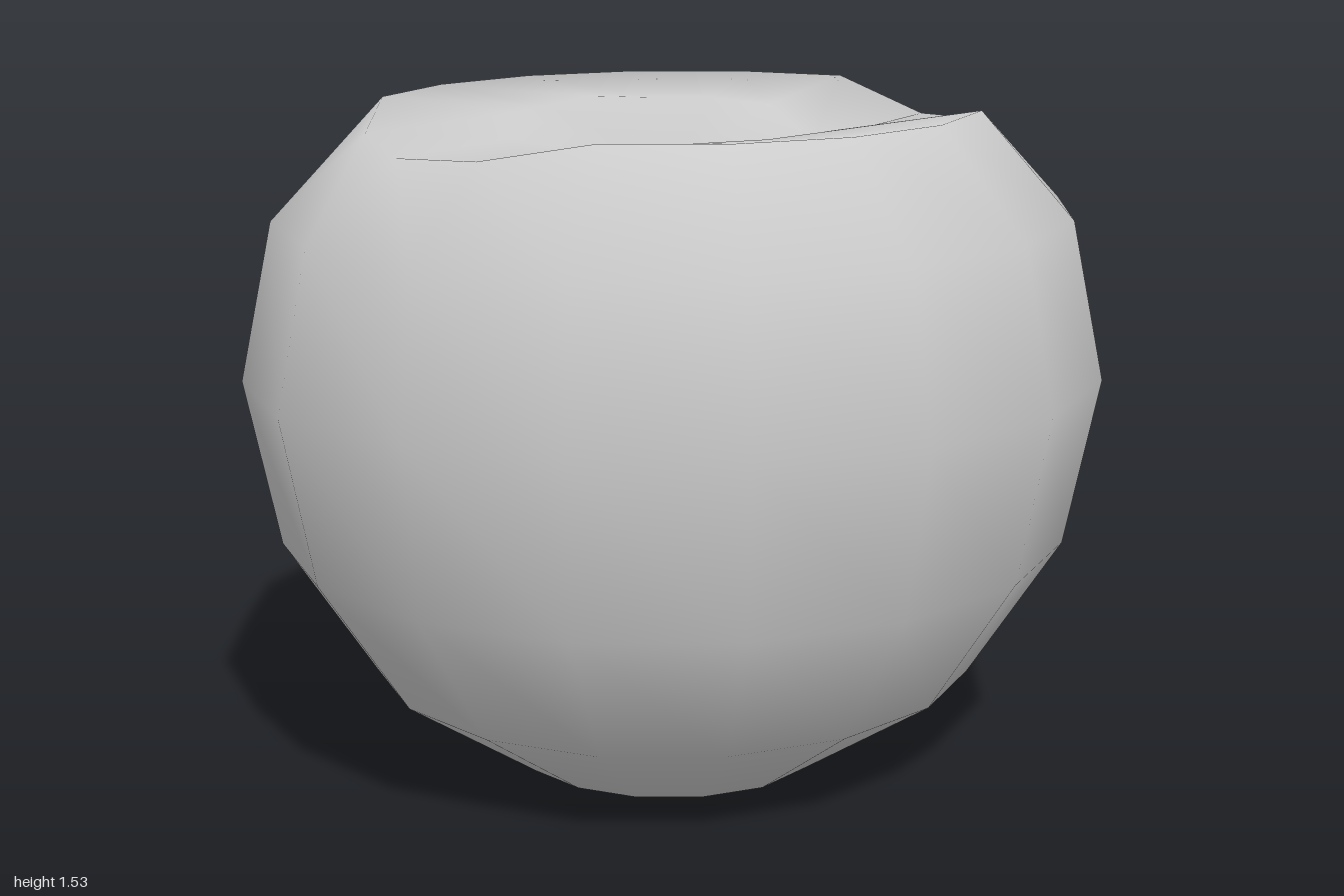
import * as THREE from 'three';

const SIDES = 16;
const DEPTH = 0.953; // front-to-back squash

// Heights around a ring, starting at +x and turning towards +z
const rimHeights = [1.46, 1.48, 1.53, 1.53, 1.53, 1.53, 1.53, 1.48,
  1.46, 1.48, 1.53, 1.53, 1.53, 1.53, 1.53, 1.53];
const dimpleHeights = [1.42, 1.45, 1.48, 1.49, 1.49, 1.49, 1.48, 1.46,
  1.43, 1.46, 1.5, 1.5, 1.51, 1.5, 1.5, 1.49];

// Rings from bottom to top: radius and height rule
const rings = [
  { r: 0.385, y: (i) => (i % 8 === 3 ? 0.01 : 0) },
  { r: 0.71, y: () => 0.22 },
  { r: 0.923, y: () => 0.545 },
  { r: 1, y: () => 0.93 },
  { r: 0.923, y: () => 1.29 },
  { r: 0.706, y: (i) => rimHeights[i] },
  { r: 0.383, y: (i) => dimpleHeights[i] },
];

function dentedBallGeometry() {
  const pos = [0, 0.02, 0]; // bottom pole
  rings.forEach(({ r, y }) => {
    for (let i = 0; i < SIDES; i++) {
      const a = (i / SIDES) * Math.PI * 2;
      // slight flattening of the widest ring at one front corner
      const k = r === 1 && i >= 5 && i <= 7 ? 0.96 : 1;
      pos.push(Math.cos(a) * r * k, y(i), Math.sin(a) * r * k * DEPTH);
    }
  });
  const top = pos.length / 3;
  pos.push(0, 1.385, 0); // bottom of the top dimple

  const index = [];
  const at = (ring, i) => 1 + ring * SIDES + (i % SIDES);
  const last = rings.length - 1;
  for (let i = 0; i < SIDES; i++) {
    index.push(0, at(0, i), at(0, i + 1));
    for (let j = 0; j < last; j++) {
      const a = at(j, i), b = at(j, i + 1), c = at(j + 1, i + 1), d = at(j + 1, i);
      index.push(a, d, c, a, c, b);
    }
    index.push(at(last, i), top, at(last, i + 1));
  }

  const geo = new THREE.BufferGeometry();
  geo.setAttribute('position', new THREE.Float32BufferAttribute(pos, 3));
  geo.setIndex(index);
  geo.computeVertexNormals();
  return geo;
}

export function createModel() {
  const group = new THREE.Group();
  const body = new THREE.Mesh(
    dentedBallGeometry(),
    new THREE.MeshStandardMaterial({ color: 0xcccccc })
  );
  body.name = 'dentedBall';
  group.add(body);
  return group;
}
